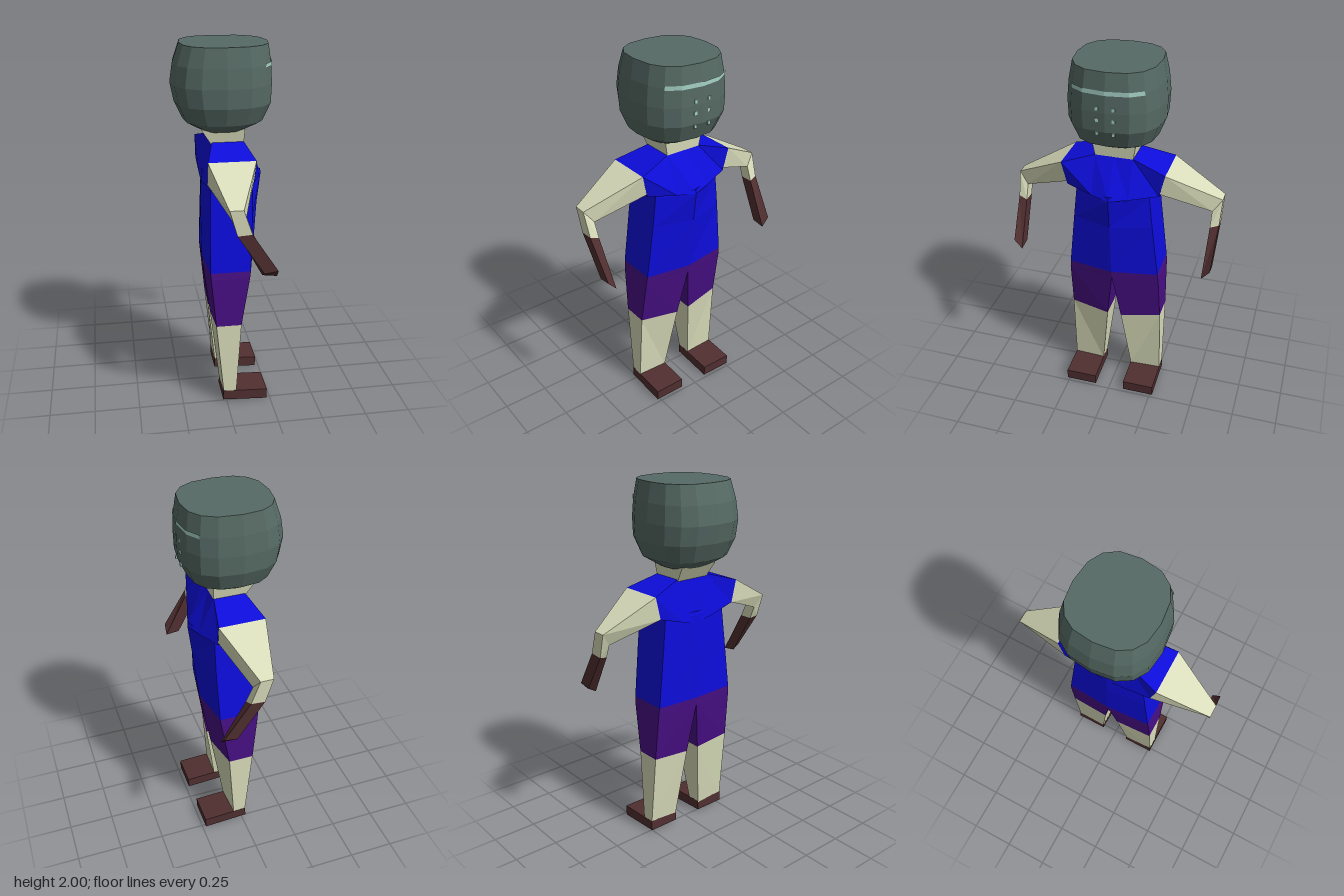
import * as THREE from 'three';

const mat = (name, color, side = THREE.FrontSide) => {
  const m = new THREE.MeshStandardMaterial({ color, flatShading: true, side });
  m.name = name;
  return m;
};

// Skins a list of equal-length rings, caps both ends and makes the faces point outward.
function loft(rings) {
  const tris = [];
  const n = rings[0].length;
  for (let r = 0; r < rings.length - 1; r++) {
    for (let i = 0; i < n; i++) {
      const j = (i + 1) % n;
      const a = rings[r][i], b = rings[r][j], c = rings[r + 1][j], d = rings[r + 1][i];
      tris.push([a, b, c], [a, c, d]);
    }
  }
  const last = rings[rings.length - 1];
  for (let i = 1; i < n - 1; i++) {
    tris.push([rings[0][0], rings[0][i + 1], rings[0][i]]);
    tris.push([last[0], last[i], last[i + 1]]);
  }
  const v = (p) => new THREE.Vector3(...p);
  const volume = tris.reduce((s, [a, b, c]) => s + v(a).dot(v(b).cross(v(c))), 0);
  const pos = tris.flatMap(([a, b, c]) => (volume < 0 ? [...a, ...c, ...b] : [...a, ...b, ...c]));
  const g = new THREE.BufferGeometry();
  g.setAttribute('position', new THREE.Float32BufferAttribute(pos, 3));
  g.computeVertexNormals();
  return g;
}

// Rounded-square ring of the head
function headRing([y, back, front, half], sides = 16) {
  const pow = (t) => Math.sign(t) * Math.abs(t) ** 0.77;
  return Array.from({ length: sides }, (_, i) => {
    const a = (i / sides) * Math.PI * 2;
    const c = pow(Math.cos(a));
    return [c * (c > 0 ? front : -back), y, pow(Math.sin(a)) * half];
  });
}

// Six-sided ring of the trunk with a ridge at front and back
const trunkRing = (y, ridgeBack, back, front, ridgeFront, half) => [
  [ridgeFront, y, 0], [front, y, half], [back, y, half],
  [ridgeBack, y, 0], [back, y, -half], [front, y, -half],
];

export function createModel() {
  const group = new THREE.Group();
  const helmet = mat('helmet grey green', 0x566a64);
  const skin = mat('pale skin', 0xd9ddba);
  const blue = mat('blue shirt', 0x0d0ddc);
  const purple = mat('purple shorts', 0x470f84);
  const brown = mat('brown leather', 0x512f30);
  const glow = mat('pale teal', 0xa6d2c6, THREE.DoubleSide);
  const add = (name, geometry, material) => {
    const m = new THREE.Mesh(geometry, material);
    m.name = name;
    group.add(m);
    return m;
  };
  const mirror = (rings, s) => rings.map((r) => r.map(([x, y, z]) => [x, y, z * s]));

  // Head
  add('head', loft([
    [2.0, -0.215, 0.245, 0.22], [1.9, -0.25, 0.26, 0.24], [1.8, -0.265, 0.265, 0.25],
    [1.7, -0.245, 0.262, 0.247], [1.605, -0.2, 0.22, 0.21], [1.553, -0.11, 0.12, 0.13],
    [1.53, -0.01, 0.01, 0.01],
  ].map((l) => headRing(l))), helmet);

  // Eye slit wrapping the front of the head
  const slit = [1.89, 1.912].map((y) => headRing([y, -0.25, 0.264, 0.244]));
  const pos = [];
  for (const i of [14, 15, 0, 1]) {
    const j = (i + 1) % 16;
    const [a, b, c, d] = [slit[0][i], slit[0][j], slit[1][j], slit[1][i]];
    pos.push(...a, ...c, ...b, ...a, ...d, ...c);
  }
  const slitGeo = new THREE.BufferGeometry();
  slitGeo.setAttribute('position', new THREE.Float32BufferAttribute(pos, 3));
  slitGeo.computeVertexNormals();
  add('eyeSlit', slitGeo, glow);

  // Breathing holes
  for (const y of [1.82, 1.76, 1.69]) {
    for (const z of [-0.042, 0.042]) {
      add('breathingHole', new THREE.BoxGeometry(0.008, 0.018, 0.016), glow)
        .position.set(0.258, y, z);
    }
  }

  // Neck
  const neckRing = (y, back, front, half) => [
    [back, y, -half], [front, y, -half], [front, y, half], [back, y, half],
  ];
  add('neck', loft([neckRing(1.48, -0.06, 0.11, 0.1), neckRing(1.565, -0.115, 0.115, 0.115)]), skin);

  // Shirt: shoulder yoke from sleeve to sleeve
  const sleeve = [[-0.105, 1.44, 0.28], [0.145, 1.44, 0.28], [0.14, 1.315, 0.25], [-0.105, 1.315, 0.25]];
  const collar = [[-0.06, 1.495, 0.1], [0.11, 1.495, 0.1], [0.195, 1.298, 0.1], [-0.105, 1.27, 0.1]];
  const middle = [[-0.06, 1.495, 0], [0.11, 1.495, 0], [0.225, 1.29, 0], [-0.105, 1.25, 0]];
  add('shoulders', loft([
    sleeve, collar, middle, ...mirror([collar, sleeve], -1),
  ]), blue);

  // Shirt: trunk
  add('trunk', loft([
    trunkRing(1.31, -0.1, -0.08, 0.14, 0.22, 0.2),
    trunkRing(1.29, -0.105, -0.08, 0.14, 0.225, 0.2),
    trunkRing(1.12, -0.11, -0.085, 0.14, 0.205, 0.218),
    trunkRing(0.81, -0.105, -0.09, 0.13, 0.172, 0.252),
  ]), blue);

  // Shorts: waist
  add('shortsWaist', loft([
    trunkRing(0.81, -0.105, -0.09, 0.13, 0.172, 0.252),
    trunkRing(0.77, -0.102, -0.087, 0.125, 0.166, 0.256),
  ]), purple);

  // Limbs on both sides
  const legRing = (y, ib, ob, of, inf, zi, zo) => [[ib, y, zi], [ob, y, zo], [of, y, zo], [inf, y, zi]];
  for (const s of [1, -1]) {
    const part = (name, material, ...rings) => add(name, loft(mirror(rings, s)), material);

    const hip = legRing(0.77, -0.102, -0.087, 0.125, 0.166, 0, 0.256);
    const hem = legRing(0.48, -0.066, -0.06, 0.08, 0.12, 0.04, 0.262);
    hem[1][1] = hem[2][1] = 0.49;
    hem[0][1] = hem[3][1] = 0.474;
    const ankle = legRing(0.06, -0.02, -0.018, 0.053, 0.06, 0.088, 0.264);
    part('shortsLeg', purple, hip, hem);
    part('lowerLeg', skin, hem, ankle);

    // Foot, sloping slightly down to the toe
    part('foot', brown,
      [[-0.022, 0.015, 0.086], [-0.022, 0.015, 0.265], [-0.02, 0.072, 0.265], [-0.02, 0.072, 0.086]],
      [[0.23, 0, 0.086], [0.23, 0, 0.265], [0.232, 0.06, 0.265], [0.232, 0.06, 0.086]]);

    // Arm with a bent elbow and a brown glove
    const elbow = [[-0.04, 1.285, 0.566], [0.03, 1.285, 0.566], [0.05, 1.22, 0.516], [-0.02, 1.215, 0.516]];
    const cuff = [[0, 1.15, 0.561], [0.075, 1.155, 0.561], [0.085, 1.14, 0.515], [0.01, 1.14, 0.515]];
    const tip = [[0.14, 0.935, 0.551], [0.212, 0.945, 0.551], [0.215, 0.898, 0.507], [0.138, 0.908, 0.507]];
    const shoulder = sleeve.map((p) => [...p]);
    shoulder[2][1] = 1.33;
    part('upperArm', skin, shoulder, elbow);
    part('forearm', skin, elbow, cuff);
    part('glove', brown, cuff, tip);
  }

  return group;
}
